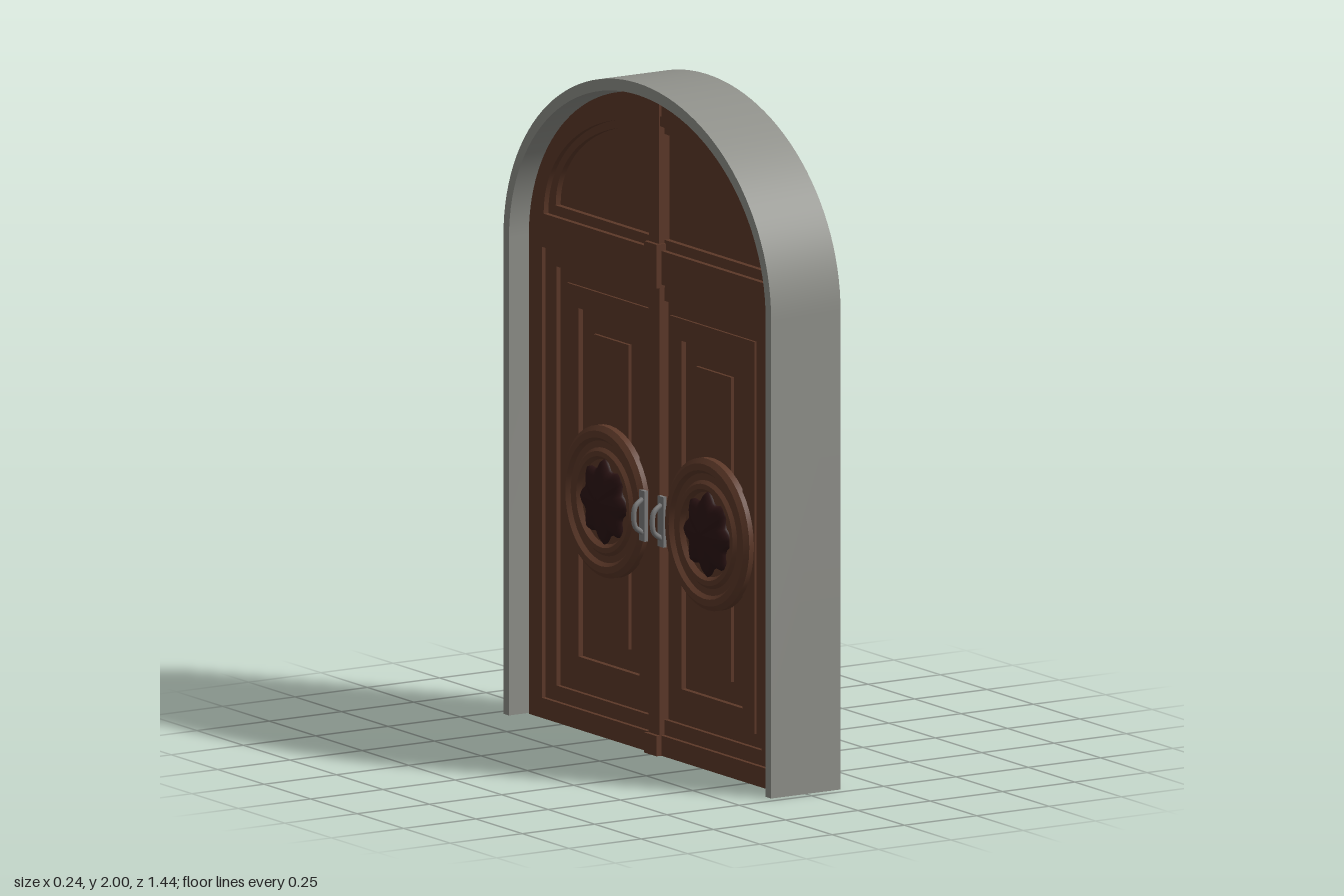
import * as THREE from 'three';
import { toCreasedNormals } from 'three/addons/utils/BufferGeometryUtils.js';

const mat = (name, color) => {
  const m = new THREE.MeshStandardMaterial({ color });
  m.name = name;
  return m;
};

// Arched outline: straight sides from y0 to the spring line, then a half ellipse
function arch(half, y0, spring, top, Type = THREE.Shape) {
  const s = new Type();
  s.moveTo(-half, y0);
  s.lineTo(half, y0);
  if (spring > y0) s.lineTo(half, spring);
  s.absellipse(0, spring, half, top - spring, 0, Math.PI, false, 0);
  s.closePath();
  return s;
}

function rect(x0, x1, y0, y1, Type = THREE.Shape) {
  const s = new Type();
  s.moveTo(x0, y0);
  s.lineTo(x1, y0);
  s.lineTo(x1, y1);
  s.lineTo(x0, y1);
  s.closePath();
  return s;
}

// Extrude a shape drawn in the door plane, centred through the thickness along x
function slab(shape, halfDepth, holes = []) {
  shape.holes.push(...holes);
  const g = new THREE.ExtrudeGeometry(shape, { depth: halfDepth * 2, bevelEnabled: false, curveSegments: 28 });
  g.translate(0, 0, -halfDepth);
  g.rotateY(Math.PI / 2);
  return toCreasedNormals(g, 0.5);
}

export function createModel() {
  const stone = mat('grey stone', 0x8f908a);
  const wood = mat('brown wood', 0x5c3828);
  const darkMetal = mat('dark bronze', 0x2c1414);
  const steel = mat('steel', 0x7c7c7c);

  const root = new THREE.Group();
  root.name = 'archedDoor';
  const add = (name, geo, material, parent = root) => {
    const m = new THREE.Mesh(geo, material);
    m.name = name;
    parent.add(m);
    return m;
  };

  // Thin stone surround, open at the bottom
  const surround = new THREE.Shape();
  surround.moveTo(0.69, 0);
  surround.lineTo(0.72, 0);
  surround.lineTo(0.72, 1.42);
  surround.absellipse(0, 1.42, 0.72, 0.58, 0, Math.PI, false, 0);
  surround.lineTo(-0.72, 0);
  surround.lineTo(-0.69, 0);
  surround.lineTo(-0.69, 1.42);
  surround.absellipse(0, 1.42, 0.69, 0.545, Math.PI, 0, true, 0);
  surround.closePath();
  add('stoneSurround', slab(surround, 0.12), stone);

  // Wooden frame with the door opening and the half-round top light
  add('doorFrame', slab(arch(0.68, 0, 1.42, 1.955), 0.058, [
    rect(-0.61, 0.61, 0.06, 1.4, THREE.Path),
    arch(0.6, 1.5, 1.5, 1.87, THREE.Path),
  ]), wood);
  add('openingMoulding', slab(rect(-0.61, 0.61, 0.06, 1.4), 0.045,
    [rect(-0.55, 0.55, 0.105, 1.35, THREE.Path)]), wood);

  // Top light: moulding and recessed panel
  add('topMoulding', slab(arch(0.6, 1.5, 1.5, 1.87), 0.042,
    [arch(0.56, 1.53, 1.53, 1.845, THREE.Path)]), wood);
  add('topPanel', slab(arch(0.56, 1.53, 1.53, 1.845), 0.025), wood);

  // Centre post with its blocks
  const post = (name, y0, y1, halfZ, halfX) => {
    const g = new THREE.BoxGeometry(halfX * 2, y1 - y0, halfZ * 2);
    g.translate(0, (y0 + y1) / 2, 0);
    add(name, g, wood);
  };
  post('centrePost', 0.06, 1.39, 0.03, 0.062);
  post('upperPost', 1.52, 1.9, 0.026, 0.062);
  post('baseBlock', 0, 0.06, 0.033, 0.075);
  post('middleBlock', 1.39, 1.52, 0.033, 0.075);
  post('topBlock', 1.9, 1.95, 0.033, 0.066);

  // Rosette profile, turned about its axis (radius, height)
  const rosette = [[0.225, 0], [0.225, 0.02], [0.21, 0.032], [0.19, 0.032], [0.18, 0.02],
    [0.16, 0.02], [0.15, 0.03], [0.135, 0.03], [0.125, 0.016], [0, 0.016]]
    .map(([r, h]) => new THREE.Vector2(r, h));

  for (const side of [1, -1]) {
    const leaf = new THREE.Group();
    leaf.name = side > 0 ? 'leftLeaf' : 'rightLeaf';
    root.add(leaf);

    // Rectangle measured outward from the centre post
    const box = (a, b, y0, y1, Type) =>
      rect(Math.min(-side * a, -side * b), Math.max(-side * a, -side * b), y0, y1, Type);
    add('leafFrame', slab(box(0.02, 0.55, 0.105, 1.35), 0.032,
      [box(0.05, 0.505, 0.145, 1.31, THREE.Path)]), wood, leaf);
    add('panelMoulding', slab(box(0.05, 0.505, 0.145, 1.31), 0.04,
      [box(0.112, 0.44, 0.21, 1.245, THREE.Path)]), wood, leaf);
    add('recessedPanel', slab(box(0.112, 0.44, 0.21, 1.245), 0.024), wood, leaf);
    add('raisedPanel', slab(box(0.18, 0.37, 0.275, 1.18), 0.034), wood, leaf);

    // Round ornament on the -x face
    const ornament = new THREE.Group();
    ornament.name = 'roundOrnament';
    ornament.position.set(-0.036, 0.7, side * 0.278);
    ornament.rotation.z = Math.PI / 2;
    leaf.add(ornament);
    add('ornamentRings', toCreasedNormals(new THREE.LatheGeometry(rosette, 40), 0.5), wood, ornament);

    // Lobed bronze boss: a flattened dome with a wavy rim
    const boss = new THREE.SphereGeometry(1, 40, 12, 0, Math.PI * 2, 0, Math.PI / 2);
    const p = boss.attributes.position;
    for (let i = 0; i < p.count; i++) {
      const x = p.getX(i), z = p.getZ(i);
      const r = 0.115 * (1 + 0.12 * Math.cos(8 * Math.atan2(z, x)));
      p.setXYZ(i, x * r, 0.014 + p.getY(i) * 0.035, z * r);
    }
    boss.computeVertexNormals();
    add('bronzeBoss', boss, darkMetal, ornament);

    // Handle plate and curved pull beside the post
    const plate = new THREE.BoxGeometry(0.012, 0.15, 0.03);
    plate.translate(-0.066, 0.7, side * 0.05);
    add('handlePlate', plate, steel, leaf);
    const pull = new THREE.CatmullRomCurve3([[-0.07, 0.65], [-0.095, 0.67], [-0.1, 0.7], [-0.095, 0.73], [-0.07, 0.75]]
      .map(([x, y]) => new THREE.Vector3(x, y, side * 0.05)));
    add('handlePull', new THREE.TubeGeometry(pull, 16, 0.008, 8), steel, leaf);
  }
  return root;
}
